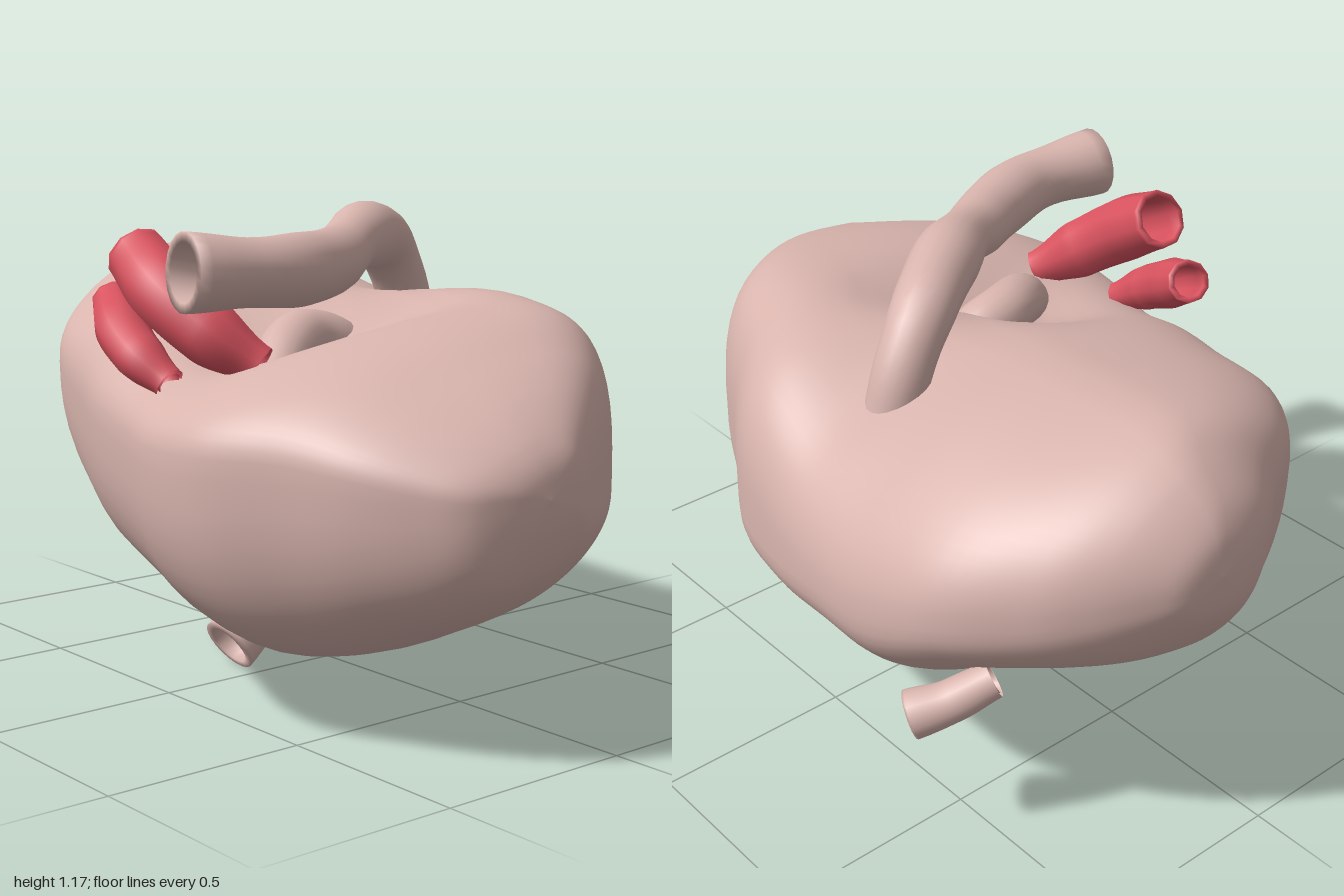
import * as THREE from 'three';

const flesh = new THREE.MeshStandardMaterial({ color: 0xd8b4ad, side: THREE.DoubleSide });
const red = new THREE.MeshStandardMaterial({ color: 0xd9535f, side: THREE.DoubleSide });

// Skin a list of closed rings (arrays of Vector3) into a smooth surface
function loft(rings) {
  const n = rings[0].length, pos = [], idx = [];
  rings.forEach(r => r.forEach(p => pos.push(p.x, p.y, p.z)));
  for (let i = 0; i < rings.length - 1; i++) {
    for (let j = 0; j < n; j++) {
      const k = (j + 1) % n, a = i * n + j, b = a + n, c = i * n + k, d = c + n;
      idx.push(a, b, c, b, d, c);
    }
  }
  const g = new THREE.BufferGeometry();
  g.setAttribute('position', new THREE.Float32BufferAttribute(pos, 3));
  g.setIndex(idx);
  g.computeVertexNormals();
  return g;
}

const { lerp, smoothstep } = THREE.MathUtils;
const bump = (x, z, cx, cz, rx, rz) => Math.exp(-(((x - cx) / rx) ** 2) - ((z - cz) / rz) ** 2);
const signedPow = (v, e) => Math.sign(v) * Math.abs(v) ** e;

// Stations along the organ: x, back z, front z, bottom y, top y
const stations = [
  [-1.0, -0.19, -0.19, 0.785, 0.785],
  [-0.985, -0.29, -0.09, 0.68, 0.87],
  [-0.95, -0.36, 0.0, 0.61, 0.93],
  [-0.88, -0.46, 0.1, 0.52, 0.99],
  [-0.78, -0.56, 0.26, 0.44, 1.03],
  [-0.6, -0.67, 0.42, 0.36, 1.03],
  [-0.4, -0.7, 0.49, 0.24, 1.02],
  [-0.2, -0.69, 0.57, 0.22, 0.98],
  [0.0, -0.66, 0.62, 0.18, 0.95],
  [0.2, -0.61, 0.69, 0.17, 0.94],
  [0.4, -0.49, 0.7, 0.175, 0.94],
  [0.6, -0.38, 0.63, 0.22, 0.92],
  [0.75, -0.24, 0.57, 0.28, 0.86],
  [0.87, -0.08, 0.49, 0.34, 0.79],
  [0.95, 0.05, 0.41, 0.42, 0.72],
  [0.985, 0.12, 0.32, 0.51, 0.67],
  [1.0, 0.22, 0.22, 0.6, 0.6],
];

function bodyGeometry() {
  const xb = new THREE.CatmullRomCurve3(stations.map(s => new THREE.Vector3(s[0], s[1], s[2])));
  const yb = new THREE.CatmullRomCurve3(stations.map(s => new THREE.Vector3(s[0], s[3], s[4])));
  const rings = [], steps = 96, sides = 64;
  for (let i = 0; i <= steps; i++) {
    const p = xb.getPoint(i / steps), q = yb.getPoint(i / steps);
    const zc = (p.y + p.z) / 2, hz = (p.z - p.y) / 2;
    const yc = (q.y + q.z) / 2, hy = (q.z - q.y) / 2;
    // the right lobe is round on top, the left one has fuller shoulders and slopes forward
    const left = smoothstep(p.x, -0.35, 0.25);
    const backTilt = lerp(-0.28, 0.17, left), frontTilt = lerp(0.18, 0.38, left);
    const topPower = lerp(0.84, 0.6, left);
    const ring = [];
    for (let j = 0; j < sides; j++) {
      const a = j / sides * Math.PI * 2, e = Math.sin(a) > 0 ? topPower : 0.84;
      const c = signedPow(Math.cos(a), e), s = signedPow(Math.sin(a), e);
      const z = zc + hz * c;
      const tilt = s < 0 ? 0.22 : c < 0 ? backTilt : frontTilt;
      let y = yc + hy * s - tilt * hy * c * Math.abs(s);
      // widest line runs higher in front than behind
      y += 0.14 * hy * c * (1 - Math.abs(s));
      // hollow where the vessels enter, and the valley between the lobes
      if (s > 0) {
        y -= s * (0.1 * bump(p.x, z, 0.1, 0.22, 0.2, 0.2) + 0.06 * bump(p.x, z, 0.24, 0, 0.15, 0.17)
          + 0.03 * bump(p.x, z, -0.06, -0.42, 0.13, 0.25));
      }
      // gentle lumps
      y += 0.012 * s * hy / 0.4 * Math.sin(7 * p.x + 1) * Math.cos(6 * z);
      ring.push(new THREE.Vector3(p.x, y, z));
    }
    rings.push(ring);
  }
  return loft(rings);
}

// Hollow vessel along a path; radii are spread evenly from start to open end
function vessel(points, radii, wall, sides = 20) {
  const curve = new THREE.CatmullRomCurve3(points.map(p => new THREE.Vector3(...p)));
  const N = 40, f = curve.computeFrenetFrames(N), rings = [];
  const radiusAt = t => {
    const u = t * (radii.length - 1), k = Math.min(Math.floor(u), radii.length - 2);
    return lerp(radii[k], radii[k + 1], smoothstep(u - k, 0, 1));
  };
  const addRing = (i, scale) => {
    const c = curve.getPointAt(i / N), r = radiusAt(i / N) * scale, ring = [];
    for (let j = 0; j < sides; j++) {
      const a = -j / sides * Math.PI * 2;
      ring.push(c.clone().addScaledVector(f.normals[i], r * Math.cos(a))
        .addScaledVector(f.binormals[i], r * Math.sin(a)));
    }
    rings.push(ring);
  };
  for (let i = 0; i <= N; i++) addRing(i, 1);
  for (let i = N; i >= 0; i -= 4) addRing(i, wall);
  return loft(rings);
}

export function createModel() {
  const group = new THREE.Group();
  const add = (name, geometry, material) => {
    const m = new THREE.Mesh(geometry, material);
    m.name = name;
    group.add(m);
  };

  add('body', bodyGeometry(), flesh);

  // Long vessel arching over the top
  add('archVessel', vessel([
    [-0.1, 0.82, -0.37], [-0.1, 0.95, -0.33], [-0.07, 1.05, -0.25], [0.02, 1.085, -0.12],
    [0.12, 1.08, 0.02], [0.2, 1.05, 0.14], [0.27, 1.04, 0.26], [0.33, 1.04, 0.42],
    [0.33, 1.045, 0.54], [0.31, 1.05, 0.66],
  ], [0.07, 0.072, 0.08, 0.085, 0.07, 0.08, 0.085, 0.078, 0.09], 0.75), flesh);

  // Small branch in the hollow under the arch
  add('hollowBranch', vessel([
    [0.22, 0.77, 0.34], [0.15, 0.83, 0.25], [0.1, 0.85, 0.15], [0.1, 0.82, 0.05], [0.12, 0.74, -0.02],
  ], [0.06, 0.07, 0.07, 0.06], 0.75), flesh);

  // Two red vessels leaning to the side
  add('largeRedVessel', vessel([
    [0.27, 0.82, 0.42], [0.18, 0.89, 0.49], [0.07, 0.97, 0.53], [-0.08, 1.06, 0.52],
  ], [0.05, 0.08, 0.085, 0.075], 0.8, 10), red);
  add('smallRedVessel', vessel([
    [0.08, 0.77, 0.54], [0.0, 0.82, 0.56], [-0.09, 0.87, 0.55], [-0.21, 0.94, 0.5],
  ], [0.04, 0.06, 0.065, 0.055], 0.75, 10), red);

  // Short tubes underneath and at the back
  add('lowerTube', vessel([
    [-0.05, 0.26, 0.04], [-0.06, 0.16, 0.15], [-0.065, 0.1, 0.21], [-0.065, 0.06, 0.27],
  ], [0.055, 0.06, 0.065, 0.075], 0.75), flesh);
  add('backTube', vessel([
    [-0.62, 0.44, -0.5], [-0.57, 0.39, -0.59], [-0.52, 0.36, -0.66],
  ], [0.045, 0.05, 0.058], 0.75), flesh);

  return group;
}
